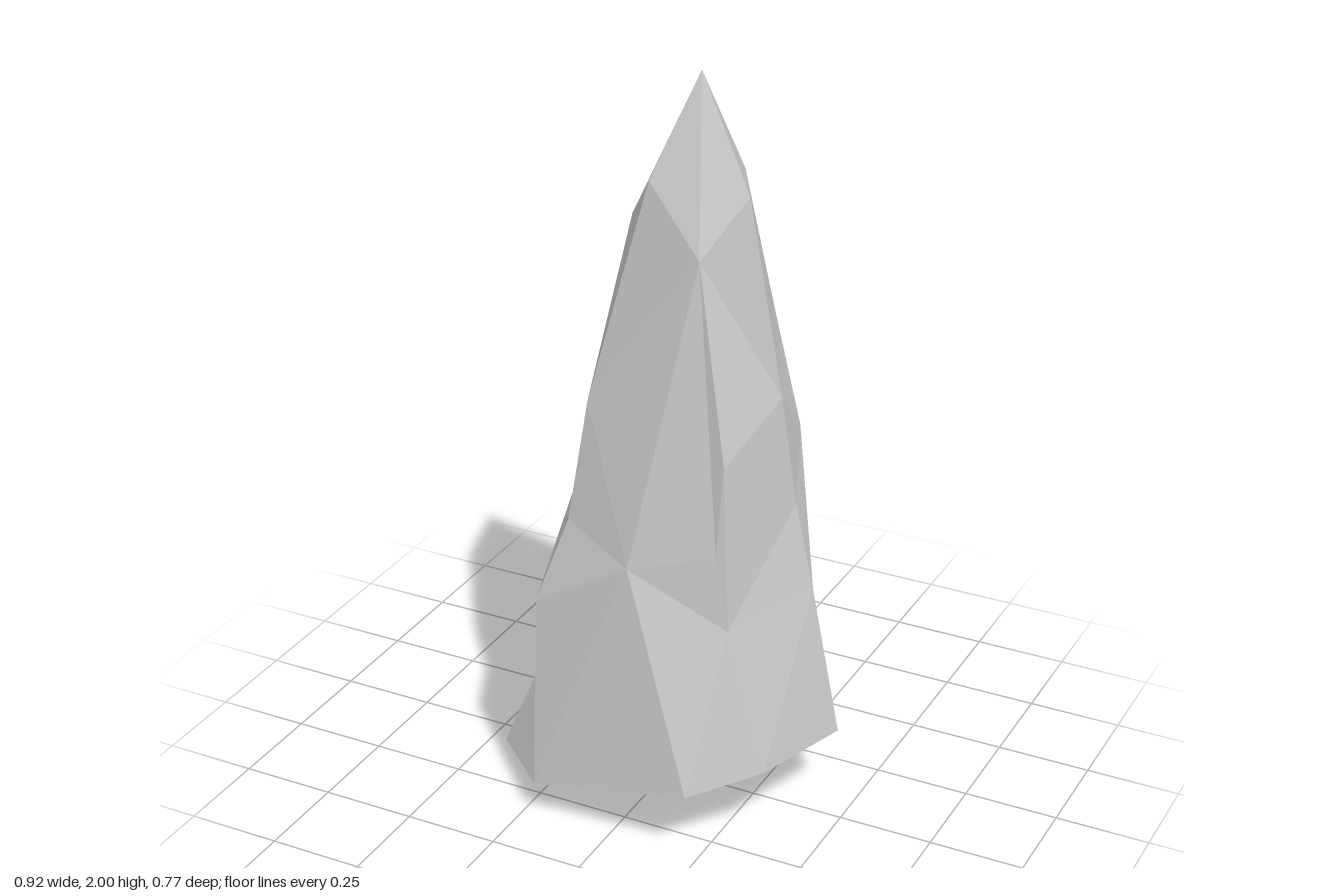
import * as THREE from 'three';

// Tilted base outline, front-left corner > right > back > left
const base = [
  [-0.21, 0.10, 0.35], [0.24, 0.21, 0.385], [0.38, 0.23, 0.22], [0.46, 0.22, -0.06],
  [0.21, 0.13, -0.39], [-0.21, 0.03, -0.37], [-0.40, 0.01, -0.11], [-0.46, 0, 0.065],
];

// The same outline with its two low corners raised to the chips above them
const rim = base.slice();
rim[5] = [-0.20, 0.36, -0.355];
rim[7] = [-0.375, 0.27, -0.04];

// Cross-sections from base to tip, all in the same order.
// A corner shared by two sections joins them directly.
const rings = [
  base,
  rim,
  // lower body
  [[-0.235, 0.60, 0.275], [0.04, 0.77, 0.305], [0.29, 0.63, 0.25], [0.395, 0.64, -0.025],
   [0.215, 0.75, -0.275], [-0.06, 0.75, -0.31], [-0.27, 0.65, -0.13]],
  // middle
  [[-0.16, 0.83, 0.235], [0.04, 0.77, 0.305], [0.255, 0.83, 0.25], [0.27, 1.07, 0.24], [0.35, 0.88, -0.01],
   [0.275, 1.0, -0.195], [0.13, 1.085, -0.275], [-0.095, 1.11, -0.20], [-0.205, 1.0, -0.07], [-0.205, 0.93, 0.05]],
  // upper body
  [[-0.12, 1.15, 0.20], [0.18, 1.57, 0.195], [0.325, 1.18, 0.03],
   [0.21, 1.315, -0.17], [0.02, 1.36, -0.175], [-0.15, 1.34, -0.01]],
  // shoulder
  [[0.035, 1.74, 0.17], [0.18, 1.57, 0.195], [0.26, 1.71, 0.09], [0.19, 1.73, -0.03],
   [0.02, 1.56, -0.09], [-0.045, 1.62, 0.10]],
  // tip ridge
  [[0.13, 2.0, 0.085], [0.085, 1.94, 0.03]],
];

// Angle of a corner around the leaning axis of the spire, measured from the seam
function angleOf([x, y, z]) {
  const seam = -0.9;
  const t = Math.atan2(x - 0.02 * y, z - 0.035 * y) - seam;
  return t < 0 ? t + Math.PI * 2 : t;
}

function createSpireGeometry() {
  const positions = [];
  const same = (a, b) => a.every((v, i) => v === b[i]);
  const triangle = (a, b, c) => {
    if (!same(a, b) && !same(b, c) && !same(c, a)) positions.push(...a, ...b, ...c);
  };
  const at = (ring, i) => ring[i % ring.length];
  const turn = (ring, i) => angleOf(at(ring, i)) + (i >= ring.length ? Math.PI * 2 : 0);

  // Zip neighbouring sections together in order of angle; the underside stays open
  for (let k = 0; k + 1 < rings.length; k++) {
    const low = rings[k], high = rings[k + 1];
    let i = 0, j = 0;
    while (i < low.length || j < high.length) {
      const stepLow = j >= high.length || (i < low.length && turn(low, i + 1) <= turn(high, j + 1));
      if (stepLow) {
        triangle(at(low, i), at(low, i + 1), at(high, j));
        i++;
      } else {
        triangle(at(low, i), at(high, j + 1), at(high, j));
        j++;
      }
    }
  }

  const geometry = new THREE.BufferGeometry();
  geometry.setAttribute('position', new THREE.Float32BufferAttribute(positions, 3));
  geometry.computeVertexNormals();
  return geometry;
}

export function createModel() {
  const group = new THREE.Group();
  group.name = 'rockSpire';
  const stone = new THREE.MeshStandardMaterial({ color: 0xcccccc, flatShading: true, side: THREE.DoubleSide });
  const spire = new THREE.Mesh(createSpireGeometry(), stone);
  spire.name = 'rock';
  group.add(spire);
  return group;
}
